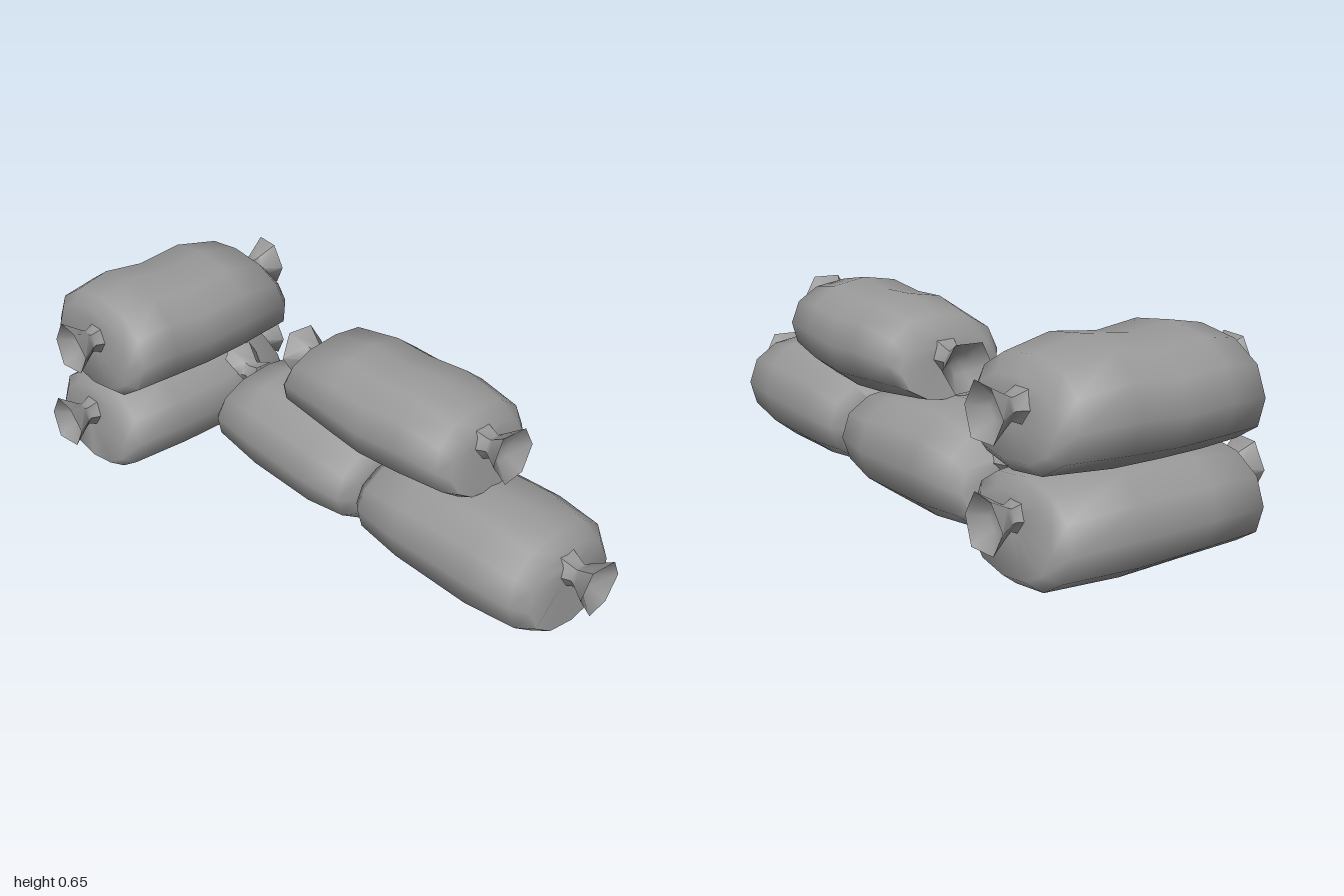
import * as THREE from 'three';
import { toCreasedNormals, mergeVertices } from 'three/addons/utils/BufferGeometryUtils.js';

const cloth = new THREE.MeshStandardMaterial({ color: 0x999999 });
cloth.name = 'grey cloth';
const SIDES = 12;

// Bag lofted along x. Station: [xBottom, yBottom, xTop, yTop, zMin, zMax]
function sackGeometry(stations) {
  const pos = [], idx = [];
  const power = (t) => Math.sign(t) * Math.pow(Math.abs(t), 2 / 2.25);
  for (const [xb, yb, xt, yt, z0, z1] of stations) {
    for (let i = 0; i < SIDES; i++) {
      const a = (i / SIDES) * Math.PI * 2;
      const v = (power(Math.cos(a)) + 1) / 2, u = (power(Math.sin(a)) + 1) / 2;
      pos.push(xb + (xt - xb) * v, yb + (yt - yb) * v, z0 + (z1 - z0) * u);
    }
  }
  const n = stations.length;
  for (let s = 0; s < n - 1; s++) {
    for (let i = 0; i < SIDES; i++) {
      const a = s * SIDES + i, b = s * SIDES + (i + 1) % SIDES;
      idx.push(a, b, a + SIDES, b, b + SIDES, a + SIDES);
    }
  }
  // closed ends
  for (let i = 1; i < SIDES - 1; i++) {
    const e = (n - 1) * SIDES;
    idx.push(0, i + 1, i, e, e + i, e + i + 1);
  }
  const g = new THREE.BufferGeometry();
  g.setAttribute('position', new THREE.Float32BufferAttribute(pos, 3));
  g.setIndex(idx);
  return toCreasedNormals(g, 1.15);
}

// Six-sided gathered neck that flares into a hollow ruffle
function knotGeometry() {
  const profile = [[0.062, -0.035], [0.036, 0.025], [0.045, 0.04], [0.086, 0.1], [0.035, 0.055], [0, 0.05]];
  let g = new THREE.LatheGeometry(profile.map(([r, y]) => new THREE.Vector2(r, y)), 6);
  g.deleteAttribute('normal');
  g.deleteAttribute('uv');
  g = mergeVertices(g);
  // uneven ruffle
  const p = g.attributes.position;
  for (let i = 0; i < p.count; i++) {
    const a = Math.atan2(p.getZ(i), p.getX(i));
    if (p.getY(i) > 0.09) p.setY(i, p.getY(i) + 0.006 * Math.sin(2 * a + 0.5));
  }
  return toCreasedNormals(g, 0.9);
}

function sandbag(name, stations, knots) {
  const bag = new THREE.Group();
  bag.name = name;
  const sack = new THREE.Mesh(sackGeometry(stations), cloth);
  sack.name = 'sack';
  bag.add(sack);
  for (const [x, y, z, dir, tilt] of knots) {
    const knot = new THREE.Mesh(knotGeometry(), cloth);
    knot.name = 'tiedEnd';
    knot.position.set(x, y, z);
    knot.rotation.z = -dir * Math.PI / 2 + tilt;
    bag.add(knot);
  }
  return bag;
}

export function createModel() {
  const model = new THREE.Group();
  model.name = 'sandbagWall';

  // long row, running along x
  model.add(sandbag('lowerLeftBag', [
    [0.22, 0.17, 0.22, 0.25, -0.2, -0.11],
    [0.20, 0.07, 0.21, 0.29, -0.33, 0.02],
    [0.23, 0.045, 0.25, 0.32, -0.365, 0.05],
    [0.40, 0.02, 0.40, 0.355, -0.38, 0.068],
    [0.68, 0.008, 0.70, 0.372, -0.382, 0.068],
    [0.87, 0.04, 0.84, 0.345, -0.37, 0.058],
    [0.925, 0.065, 0.875, 0.30, -0.335, 0.02],
    [0.91, 0.18, 0.90, 0.27, -0.2, -0.11],
  ], [[0.905, 0.24, -0.155, 1, 0], [0.2, 0.2, -0.155, -1, 0]]));

  model.add(sandbag('lowerRightBag', [
    [-0.50, 0.18, -0.49, 0.27, -0.2, -0.11],
    [-0.52, 0.065, -0.45, 0.29, -0.335, 0.02],
    [-0.48, 0.045, -0.42, 0.335, -0.365, 0.05],
    [-0.26, 0.01, -0.30, 0.37, -0.38, 0.066],
    [0.00, 0.01, 0.00, 0.345, -0.39, 0.068],
    [0.15, 0.04, 0.15, 0.315, -0.37, 0.055],
    [0.20, 0.07, 0.185, 0.29, -0.33, 0.02],
    [0.19, 0.16, 0.19, 0.24, -0.2, -0.11],
  ], [[-0.5, 0.25, -0.175, -1, 0]]));

  model.add(sandbag('upperBag', [
    [-0.155, 0.43, -0.14, 0.51, -0.21, -0.13],
    [-0.18, 0.35, -0.125, 0.54, -0.33, 0.005],
    [-0.15, 0.345, -0.09, 0.59, -0.355, 0.03],
    [0.08, 0.31, 0.08, 0.625, -0.365, 0.04],
    [0.21, 0.30, 0.21, 0.617, -0.372, 0.045],
    [0.38, 0.31, 0.36, 0.632, -0.37, 0.04],
    [0.55, 0.34, 0.51, 0.602, -0.35, 0.03],
    [0.59, 0.355, 0.54, 0.55, -0.32, 0.0],
    [0.57, 0.45, 0.55, 0.54, -0.21, -0.12],
  ], [[-0.155, 0.47, -0.165, -1, 0.08], [0.56, 0.505, -0.155, 1, 0.08]]));

  // two stacked bags running along z
  const stack = new THREE.Group();
  stack.name = 'crossStack';
  stack.rotation.y = -Math.PI / 2;
  stack.add(sandbag('stackBottomBag', [
    [-0.36, 0.16, -0.35, 0.25, 0.72, 0.80],
    [-0.385, 0.055, -0.34, 0.27, 0.58, 0.93],
    [-0.34, 0.02, -0.32, 0.31, 0.54, 0.97],
    [-0.10, 0.005, -0.10, 0.33, 0.52, 0.985],
    [0.12, 0.01, 0.15, 0.325, 0.515, 0.985],
    [0.33, 0.012, 0.31, 0.315, 0.53, 0.975],
    [0.37, 0.035, 0.34, 0.29, 0.57, 0.93],
    [0.355, 0.16, 0.345, 0.25, 0.72, 0.80],
  ], [[-0.35, 0.21, 0.76, -1, 0], [0.355, 0.205, 0.76, 1, 0]]));
  stack.add(sandbag('stackTopBag', [
    [-0.355, 0.45, -0.345, 0.54, 0.71, 0.79],
    [-0.37, 0.36, -0.33, 0.57, 0.55, 0.92],
    [-0.34, 0.325, -0.28, 0.622, 0.505, 0.96],
    [-0.12, 0.305, -0.13, 0.657, 0.485, 0.98],
    [0.03, 0.305, 0.03, 0.637, 0.48, 0.985],
    [0.18, 0.305, 0.17, 0.656, 0.48, 0.985],
    [0.32, 0.31, 0.29, 0.633, 0.49, 0.97],
    [0.345, 0.33, 0.325, 0.60, 0.54, 0.93],
    [0.335, 0.46, 0.33, 0.55, 0.68, 0.76],
  ], [[-0.355, 0.505, 0.765, -1, 0], [0.335, 0.505, 0.71, 1, 0]]));
  model.add(stack);
  return model;
}
